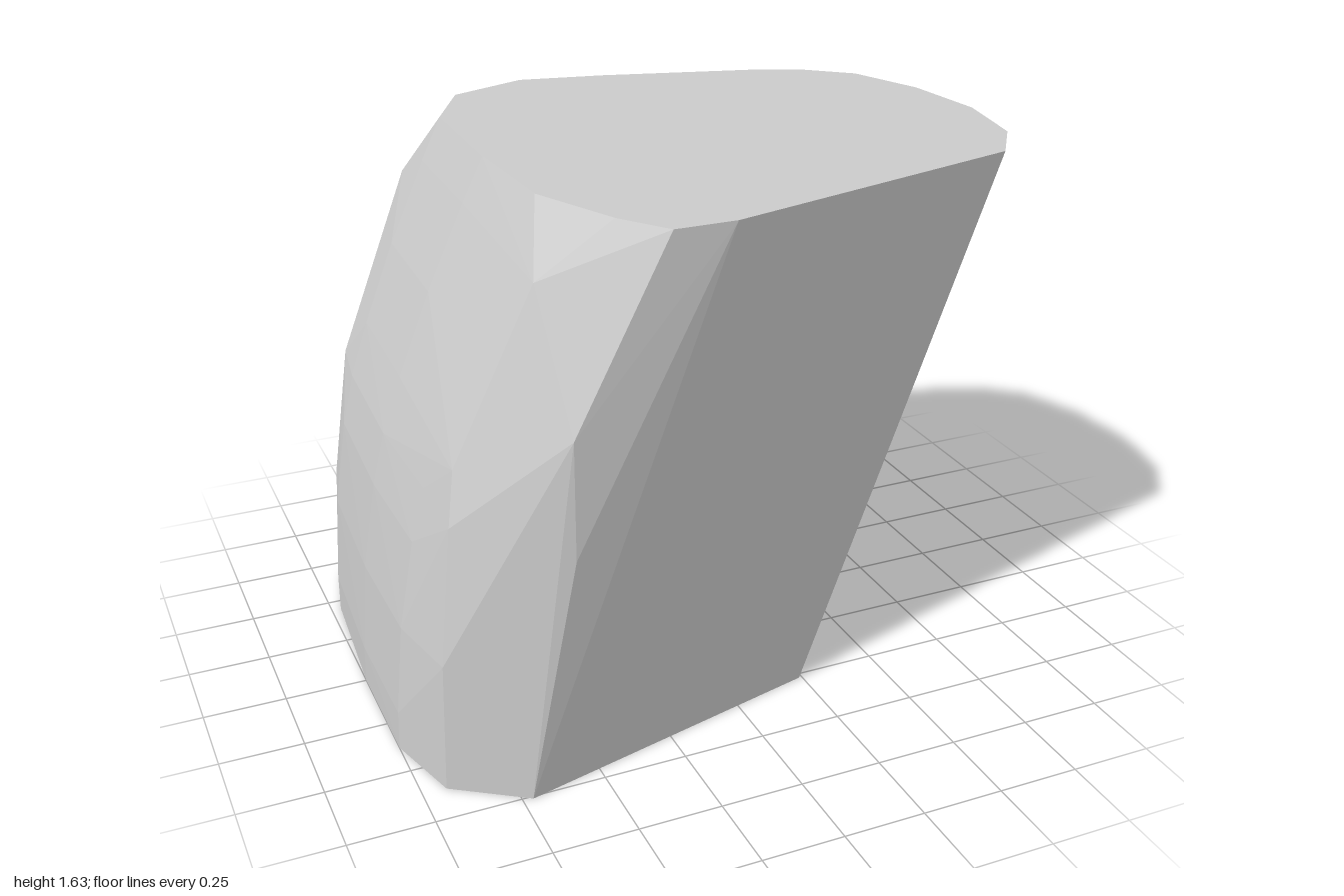
import * as THREE from 'three';
import { ConvexGeometry } from 'three/addons/geometries/ConvexGeometry.js';

// Outline of the flat base and flat top, as [x, z]
const BASE = [
  [-0.93, 0.62], [-0.72, 0.76], [0.24, 0.52], [0.33, 0.36], [0.37, 0.1], [0.365, -0.17],
  [0.325, -0.43], [0.26, -0.57], [-0.72, -0.785], [-0.91, -0.67],
];
const TOP = [
  [-0.41, 0.65], [-0.31, 0.79], [-0.13, 0.79], [0.83, 0.54], [0.95, 0.37], [1.0, 0.1],
  [0.97, -0.18], [0.88, -0.42], [0.74, -0.54], [0.6, -0.6], [0.1, -0.73], [-0.17, -0.78],
  [-0.42, -0.68],
];
const HEIGHT = 1.63;

// Curved left side, as [x, y]
const SIDE = [
  [-1, 0], [-0.998, 0.12], [-0.975, 0.4], [-0.93, 0.67], [-0.89, 0.83],
  [-0.83, 1.0], [-0.73, 1.25], [-0.615, 1.5], [-0.55, HEIGHT],
];

// Rounded corners between the curved side and the front and back, as [x, y, z]
const CORNERS = [
  [-0.92, 0.4, 0.62], [-0.87, 0.8, 0.58], [-0.84, 0.95, 0.54], [-0.61, 1.46, 0.58],
  [-0.59, 0.75, 0.8], [-0.59, 1.1, 0.8],
  [-0.9, 0.4, -0.67], [-0.85, 0.85, -0.61], [-0.62, 1.42, -0.63],
  [-0.71, 0.3, -0.79], [-0.55, 0.8, -0.8], [-0.25, 1.5, -0.79],
];

export function createModel() {
  const points = CORNERS.map((p) => new THREE.Vector3(...p));
  for (const [x, z] of BASE) points.push(new THREE.Vector3(x, 0, z));
  for (const [x, z] of TOP) points.push(new THREE.Vector3(x, HEIGHT, z));

  // Sweep the side curve across the depth, drawn in slightly toward both ends
  for (const [x, y] of SIDE) {
    const inset = 0.03 - 0.02 * (y / HEIGHT);
    points.push(
      new THREE.Vector3(x + inset, y, -0.45),
      new THREE.Vector3(x, y, 0),
      new THREE.Vector3(x + 0.02 * (y / HEIGHT), y, 0.38),
    );
  }

  const material = new THREE.MeshStandardMaterial({ color: 0xcccccc, flatShading: true });
  const block = new THREE.Mesh(new ConvexGeometry(points), material);
  block.name = 'leaningBlock';

  const group = new THREE.Group();
  group.name = 'leaningBlockModel';
  group.add(block);
  return group;
}
